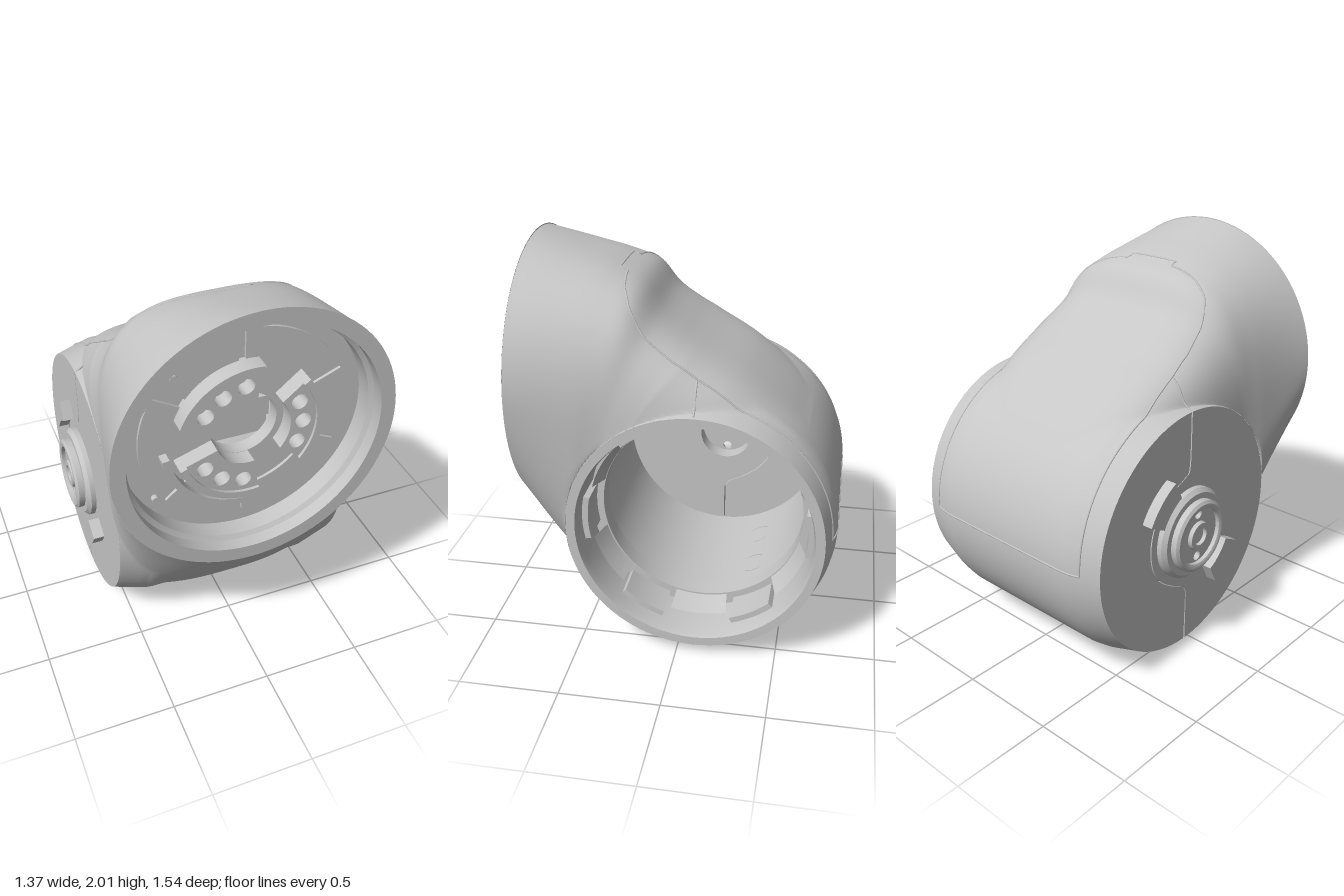
import * as THREE from 'three';
import { toCreasedNormals } from 'three/addons/utils/BufferGeometryUtils.js';

const CY = 0.68, CZ = -0.09;   // axis of the cross cylinder
const FY = 1.32;               // axis of the front flange
const rad = THREE.MathUtils.degToRad;
const V2 = (x, y) => new THREE.Vector2(x, y);

const shell = new THREE.MeshStandardMaterial({ color: 0xc6c6c6, side: THREE.DoubleSide });
shell.name = 'grey shell';

export function createModel() {
  const root = new THREE.Group();
  const add = (name, geo) => {
    const m = new THREE.Mesh(geo, shell);
    m.name = name;
    root.add(m);
    return m;
  };
  const crease = (g) => toCreasedNormals(g, rad(28));
  const latheX = (pts, start = 0, length = 360) => crease(
    new THREE.LatheGeometry(pts.map(([x, r]) => V2(r, x)), Math.ceil(length / 3.75), rad(start), rad(length))
      .rotateZ(-Math.PI / 2).translate(0, CY, CZ));
  const extrude = (shape, depth) => crease(new THREE.ExtrudeGeometry(shape, { depth, bevelEnabled: false, curveSegments: 32 }));
  // shapes drawn in the z-y plane, thickened towards -x
  const endPlate = (shape, x, depth) => extrude(shape, depth).rotateY(-Math.PI / 2).translate(x, CY, CZ);
  const hole = (shape, x, y, r) => shape.holes.push(new THREE.Path().absarc(x, y, r, 0, Math.PI * 2, true));
  const disc = (r) => new THREE.Shape().absarc(0, 0, r, 0, Math.PI * 2, false);
  const sector = (r0, r1, a0, a1) => {
    const s = new THREE.Shape();
    s.absarc(0, 0, r1, rad(a0), rad(a1), false);
    s.absarc(0, 0, r0, rad(a1), rad(a0), true);
    s.closePath();
    return s;
  };

  // cross cylinder: softly chamfered ends, stepped bore open on +x, gap left for the recess strip
  const chamfer = [[0.4, 0.68], [0.46, 0.671], [0.6, 0.63]];
  const chamferLow = chamfer.map(([x, r]) => [-x, r]).reverse();
  const barrel = add('crossCylinder', latheX([...chamferLow, [-0.36, 0.68], [0.36, 0.68], ...chamfer], 124, 342));
  for (const c of [chamferLow, chamfer]) add('endChamfer', latheX(c, 106, 18));
  add('openEndAndBore', latheX([
    [0.6, 0.63], [0.6, 0.585], [0.56, 0.575], [0.32, 0.575],
    [0.32, 0.51], [0.22, 0.51], [0.22, 0.56], [-0.56, 0.56],
  ]));

  // strip low on the back with three screw recesses, bent round the cylinder
  const sw = rad(9) * 0.68, rungs = [-sw, -sw / 2, 0, sw / 2, sw];
  const strip = new THREE.Shape([...rungs.map((s) => V2(0.4, s)), ...rungs.reverse().map((s) => V2(-0.4, s))]);
  for (const x of [-0.3, 0, 0.3]) hole(strip, x, 0, 0.075);
  const stripGeo = new THREE.ShapeGeometry(strip, 24);
  const sp = stripGeo.attributes.position, sn = stripGeo.attributes.normal;
  for (let i = 0; i < sp.count; i++) {
    const a = rad(245) - sp.getY(i) / 0.68, s = Math.sin(a), c = Math.cos(a);
    sp.setXYZ(i, sp.getX(i), CY + 0.68 * s, CZ + 0.68 * c);
    sn.setXYZ(i, 0, s, c);
  }
  // put the outside on the front of each face
  const si = stripGeo.index;
  const [pa, pb, pc] = [0, 1, 2].map((k) => new THREE.Vector3().fromBufferAttribute(sp, si.getX(k)));
  const out = new THREE.Vector3(0, Math.sin(rad(245)), Math.cos(rad(245)));
  if (pb.sub(pa).cross(pc.sub(pa)).dot(out) < 0) si.array.reverse();
  add('recessStrip', stripGeo);
  for (const x of [-0.3, 0, 0.3]) {
    const m = add('screwRecess', new THREE.CylinderGeometry(0.075, 0.075, 0.12, 32, 1, true));
    m.position.set(x, CY, CZ).addScaledVector(out, 0.617);
    m.quaternion.setFromUnitVectors(new THREE.Vector3(0, 1, 0), out);
  }

  // neck: sections sweeping from the round flange onto the cylinder
  const curve = (pts) => new THREE.CatmullRomCurve3(pts.map(([z, y]) => new THREE.Vector3(0, y, z)));
  const top = curve([[0.77, 2], [0.55, 1.935], [0.34, 1.87], [0.22, 1.81], [0.12, 1.68], [0, 1.585],
    [-0.1, 1.52], [-0.3, 1.4], [-0.48, 1.255], [-0.6, 1.135]]);
  const bottom = curve([[0.77, 0.635], [0.66, 0.475], [0.54, 0.325], [0.44, 0.215], [0.36, 0.145],
    [0.28, 0.095], [0.21, 0.062], [0.15, 0.041], [0.1, 0.026], [0.05, 0.0145]]);
  const rows = 56, cols = 160, pos = [], idx = [];
  for (let i = 0; i <= rows; i++) {
    const t = i / rows, T = top.getPoint(t), B = bottom.getPoint(t);
    const w = 0.6 + 0.085 * Math.pow(Math.max(0, 1 - t / 0.42), 2);
    const n = 2 + 2.5 * Math.min(1, t * 1.6), bulge = 1.3 * t * t;
    const my = (T.y + B.y) / 2 + bulge * Math.sin(0.56), mz = (T.z + B.z) / 2 + bulge * Math.cos(0.56);
    for (let j = 0; j < cols; j++) {
      const a = (j / cols) * Math.PI * 2, c = Math.cos(a), s = Math.sin(a);
      const k = Math.pow(Math.abs(c) ** n + Math.abs(s) ** n, -1 / n);
      const x = w * c * k, u = (s * k + 1) / 2;
      const bez = (p, q, r) => (1 - u) ** 2 * p + 2 * u * (1 - u) * q + u * u * r;
      let y = bez(B.y, my, T.y) - CY, z = bez(B.z, mz, T.z) - CZ;
      const rMin = 0.6815 - 0.05 * THREE.MathUtils.clamp((Math.abs(x) - 0.42) / 0.18, 0, 1);
      const r = Math.hypot(y, z);
      if (r < rMin && i > 0) { y *= rMin / r; z *= rMin / r; }
      pos.push(x, y + CY, z + CZ);
      if (i < rows) {
        const p = i * cols + j, q = i * cols + (j + 1) % cols;
        idx.push(p, p + cols, q, q, p + cols, q + cols);
      }
    }
  }
  const neckGeo = new THREE.BufferGeometry();
  neckGeo.setAttribute('position', new THREE.Float32BufferAttribute(pos, 3));
  neckGeo.setIndex(idx);
  neckGeo.computeVertexNormals();
  const neck = add('neckHousing', neckGeo);

  // panel joints laid on the surface, given as [x, angle round the cylinder axis]
  const ray = new THREE.Raycaster();
  const seam = (name, path) => {
    const pts = [];
    path.slice(1).forEach(([x1, a1], i) => {
      const [x0, a0] = path[i], steps = Math.ceil(Math.max(Math.abs(a1 - a0) / 3, Math.abs(x1 - x0) / 0.04));
      for (let k = i ? 1 : 0; k <= steps; k++) {
        const x = x0 + (x1 - x0) * k / steps, a = rad(a0 + (a1 - a0) * k / steps);
        const d = new THREE.Vector3(0, Math.sin(a), Math.cos(a));
        ray.set(new THREE.Vector3(x, CY, CZ).addScaledVector(d, 3), d.clone().negate());
        const hit = ray.intersectObjects([neck, barrel])[0];
        if (hit) pts.push(hit.point);
      }
    });
    add(name, new THREE.TubeGeometry(new THREE.CatmullRomCurve3(pts), pts.length * 2, 0.005, 6));
  };
  const half = [[0.14, 70.3], [0.14, 71.6], [0.3, 72], [0.4, 73], [0.44, 75], [0.465, 82], [0.475, 90],
    [0.49, 120], [0.495, 150], [0.5, 180]];
  seam('coverJoint', [...half.map(([x, a]) => [-x, a]).reverse(), ...half]);
  seam('coverLowerJoint', [[-0.5, 180], [0.5, 180]]);
  seam('undersideJoint', [[-0.595, 270], [0.595, 270]]);
  for (const s of [-1, 1]) seam('shoulderJoint', [[s * 0.48, 90], [s * 0.592, 90]]);

  // closed end on -x, split by an S-shaped gap
  const split = (g) => [[g, 0.35], [g - 0.03, 0.305], [g - 0.11, 0.265], [g - 0.2, 0.2], [g - 0.26, 0.11], [g - 0.28, 0]];
  const wallHalf = (g, a0, a1, cw) => {
    const s = new THREE.Shape(), p = split(g);
    s.absarc(0, 0, 0.63, a0, a1, cw);
    const full = [...p, ...p.slice(0, -1).reverse().map(([z, y]) => [z, -y])];
    s.lineTo(g, 0.6);
    s.splineThru(full.map(([z, y]) => V2(z, y)));
    s.lineTo(g, -0.6);
    s.closePath();
    return s;
  };
  const frontHalf = wallHalf(0.004, -Math.PI / 2 + 0.007, Math.PI / 2 - 0.007, false);
  hole(frontHalf, 0, 0, 0.145);
  hole(frontHalf, 0.19, 0.05, 0.018);
  hole(frontHalf, 0.07, 0.19, 0.018);
  add('endWallFront', endPlate(frontHalf, -0.55, 0.05));
  add('endWallBack', endPlate(wallHalf(-0.004, -Math.PI / 2 - 0.007, Math.PI / 2 + 0.007, true), -0.55, 0.05));

  // outer boss and its two arc pads
  add('boss', latheX([[-0.6, 0.145], [-0.68, 0.145], [-0.685, 0.155], [-0.685, 0.17], [-0.675, 0.185],
    [-0.645, 0.185], [-0.645, 0.215], [-0.625, 0.235], [-0.6, 0.235]]));
  const cap = disc(0.146);
  for (const y of [-0.115, 0.115]) hole(cap, 0, y, 0.024);
  add('bossCap', endPlate(cap, -0.64, 0.02));
  add('bossHub', latheX([[-0.66, 0.075], [-0.68, 0.07], [-0.68, 0.045], [-0.66, 0.045]]));
  for (const a of [117, 297]) add('arcPad', endPlate(sector(0.28, 0.385, a, a + 36), -0.6, 0.055));

  // six sloped lugs and shallow pads inside the bore
  for (let i = 0; i < 6; i++) {
    add('boreLug', latheX([[0.44, 0.553], [0.33, 0.512]], 15 + i * 60, 30));
    add('borePad', endPlate(sector(0.545, 0.578, 48 + i * 60, 72 + i * 60), 0.5, 0.18));
  }

  // front flange: rim and recess wall
  add('flangeRim', crease(new THREE.LatheGeometry([V2(0.59, 0.58), V2(0.59, 0.69), V2(0.612, 0.705), V2(0.612, 0.77),
    V2(0.685, 0.77)], 96).rotateX(Math.PI / 2).translate(0, FY, 0)));
  const frontPart = (name, shape, z, depth) => add(name, extrude(shape, depth).translate(0, FY, z));
  const plate = disc(0.595);
  hole(plate, 0, 0, 0.165);
  frontPart('flangePlate', plate, 0.53, 0.07);
  for (const [a, b] of [[27, 91], [96, 143], [150, 216], [221, 265], [270, 336], [341, 383]])
    frontPart('raisedSector', sector(0.36, 0.51, a, b), 0.6, 0.015);

  // three clamp blocks, each with three bolt holes
  for (const [a, r0] of [[121, 0.167], [0, 0.2], [239, 0.167]]) {
    const s = sector(r0, 0.345, a - 40, a + 40);
    for (const d of [-25, 0, 25]) hole(s, 0.262 * Math.cos(rad(a + d)), 0.262 * Math.sin(rad(a + d)), 0.04);
    frontPart('clampBlock', s, 0.6, 0.08);
    frontPart('clampLip', sector(0.325, 0.36, a - 40, a + 40), 0.6, 0.095);
  }
  frontPart('cableGuide', sector(0.385, 0.42, 188, 268), 0.6, 0.07);
  for (const [x, y] of [[-0.34, 0.34], [-0.435, -0.31]])
    add('locatingPin', new THREE.CylinderGeometry(0.018, 0.018, 0.03, 20).rotateX(Math.PI / 2).translate(x, FY + y, 0.61));

  // crossbar, sloping ceiling and ledge behind the centre hole
  add('innerCrossbar', new THREE.BoxGeometry(0.38, 0.11, 0.04).translate(0, 1.285, 0.45));
  add('innerCeiling', new THREE.PlaneGeometry(0.5, 0.42).rotateX(rad(62)).translate(0, 1.42, 0.34));
  add('innerLedge', new THREE.BoxGeometry(0.38, 0.1, 0.03).translate(0, 1.17, 0.43));
  return root;
}
